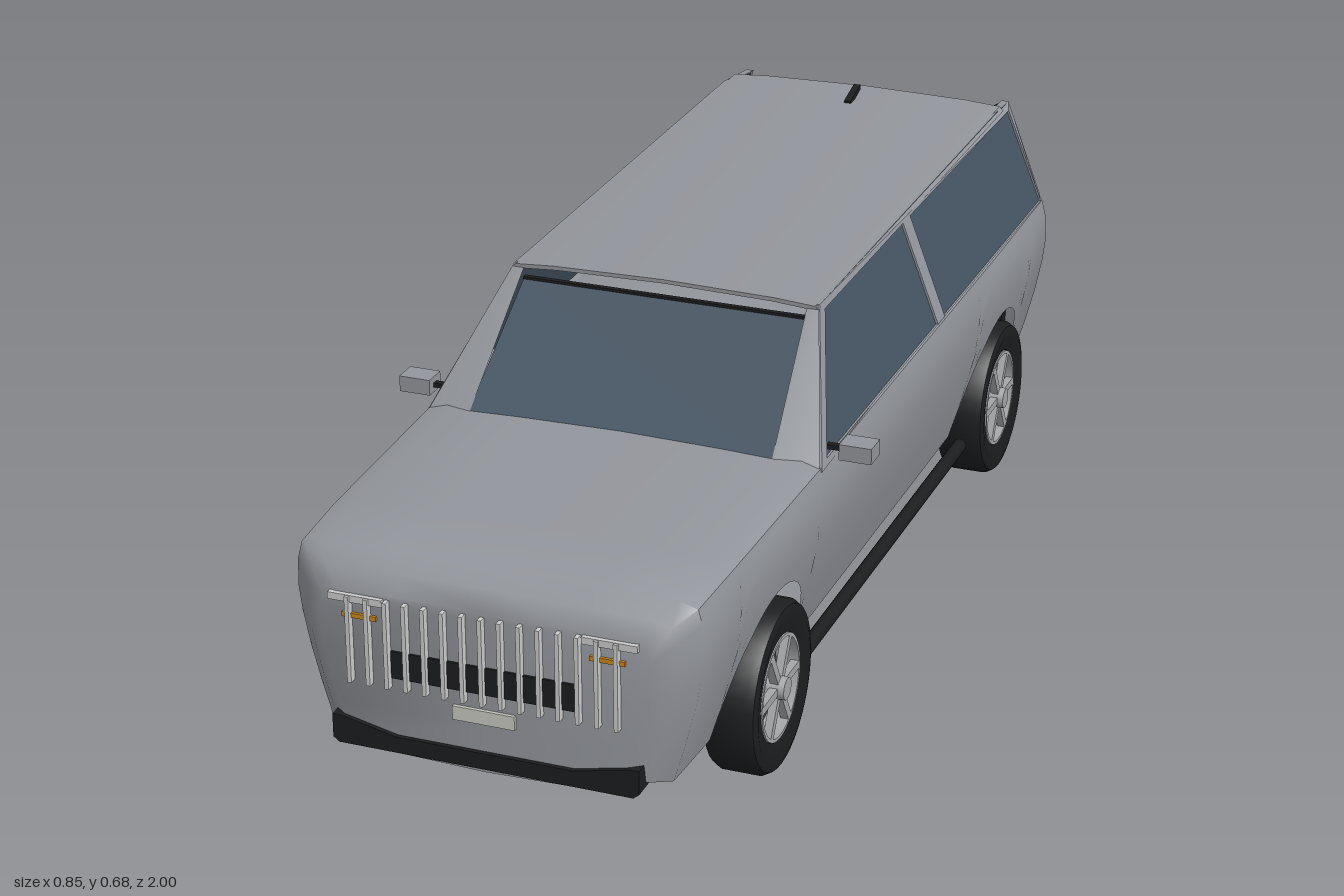
import * as THREE from 'three';
import { toCreasedNormals } from 'three/addons/utils/BufferGeometryUtils.js';

const mat = (color) => new THREE.MeshStandardMaterial({ color, side: THREE.DoubleSide });
const PAINT = mat(0x92959b), BLACK = mat(0x1c1d1f), GLASS = mat(0x455462), WHITE = mat(0xf4f4f4);
const PLATE = mat(0xc8c8c0), RIM = mat(0xa4a6a8), ORANGE = mat(0xc8861c), RED = mat(0xa01c22), DISC = mat(0x3a3c40);
const WHEEL_Z = [0.615, -0.62], WHEEL_Y = 0.146, ARCH_R = 0.173;

function add(parent, name, geometry, material, x = 0, y = 0, z = 0) {
  const mesh = new THREE.Mesh(geometry, material);
  mesh.name = name;
  mesh.position.set(x, y, z);
  parent.add(mesh);
  return mesh;
}
const box = (parent, name, material, size, pos) => add(parent, name, new THREE.BoxGeometry(...size), material, ...pos);

// Piecewise linear lookup in rows of [key, value, value...]
function lookup(rows, key) {
  let i = 0;
  while (i < rows.length - 2 && key > rows[i + 1][0]) i++;
  const [a, b] = [rows[i], rows[i + 1]];
  const t = THREE.MathUtils.clamp((key - a[0]) / (b[0] - a[0]), 0, 1);
  return a.map((v, k) => v + (b[k] - v) * t);
}

// Surface through equally long rows of points
function loft(rows, crease) {
  const n = rows[0].length, index = [];
  for (let i = 0; i < rows.length - 1; i++) {
    for (let j = 0; j < n - 1; j++) {
      const a = i * n + j, b = a + n;
      index.push(a, a + 1, b, b, a + 1, b + 1);
    }
  }
  const g = new THREE.BufferGeometry();
  g.setAttribute('position', new THREE.Float32BufferAttribute(rows.flat(2), 3));
  g.setIndex(index);
  g.computeVertexNormals();
  return toCreasedNormals(g, crease);
}
const quad = (a, b, c, d) => loft([[a, b], [d, c]], 0.5);
const mirrorRow = (half) => [...half, ...half.slice(0, -1).reverse().map(([x, y, z]) => [-x, y, z])];

// z, half width, top, lower side edge
const STATIONS = [
  [-0.99, 0.28, 0.425, 0.16], [-0.95, 0.336, 0.452, 0.142], [-0.9, 0.357, 0.46, 0.13], [-0.6, 0.36, 0.46, 0.13],
  [0.42, 0.36, 0.46, 0.13], [0.8, 0.35, 0.453, 0.13], [0.93, 0.343, 0.447, 0.13], [0.964, 0.31, 0.424, 0.14],
  [0.987, 0.277, 0.395, 0.15],
];
// Height fraction, width fraction of the body side
const SIDE = [[0, 0.85], [0.25, 0.915], [0.5, 0.97], [0.72, 1], [0.88, 0.998], [1, 0.97]];

function buildBody(group) {
  const zs = STATIONS.map((s) => s[0]);
  for (const c of WHEEL_Z) {
    zs.push(c - ARCH_R - 0.001, c + ARCH_R + 0.001);
    for (let i = 0; i <= 20; i++) zs.push(c - ARCH_R * Math.cos((i / 20) * Math.PI));
  }
  zs.sort((a, b) => a - b);
  const upper = [], floor = [];
  for (const z of zs) {
    const [, w, top, low] = lookup(STATIONS, z);
    const shoulder = top - 0.012;
    const arch = WHEEL_Z.find((c) => Math.abs(z - c) <= ARCH_R + 1e-6);
    const inArch = arch !== undefined;
    const edge = inArch ? WHEEL_Y + Math.sqrt(Math.max(0, ARCH_R ** 2 - (z - arch) ** 2)) : low;
    const half = [0, 0.2, 0.4, 0.6, 0.75, 0.9, 1].map((t) => {
      const y = edge + (shoulder - edge) * t;
      return [w * lookup(SIDE, (y - low) / (shoulder - low))[1], y, z];
    });
    half.push([w * 0.88, top - 0.003, z], [w * 0.5, top, z], [0, top + 0.002, z]);
    upper.push(mirrorRow(half));
    floor.push(mirrorRow([[inArch ? 0.205 : w * 0.85, inArch ? 0.107 : low, z], [w * 0.5, low - 0.029, z], [0, low - 0.033, z]]));
  }
  // Close nose and tail with flat faces drawn in to the centre line
  for (const rows of [upper, floor]) {
    const flatten = (row) => row.map(([, y, z]) => [0, y, z]);
    rows.unshift(flatten(rows[0]));
    rows.push(flatten(rows[rows.length - 1]));
  }
  add(group, 'bodyShell', loft(upper, 0.75), PAINT);
  add(group, 'floor', loft(floor, 0.6), PAINT);
}

const polygon = (pts) => pts.map((p) => new THREE.Vector2(...p));
const WINDOWS = [
  [[0.385, 0.453], [0.2, 0.636], [-0.22, 0.636], [-0.22, 0.453]],
  [[-0.26, 0.453], [-0.26, 0.636], [-0.872, 0.632], [-0.882, 0.453]],
];

// Turns a flat (z, y, depth) geometry into a leaning cabin side, drawn in at the tail
function lean(geometry, side, inset) {
  const g = geometry.index ? geometry.toNonIndexed() : geometry, p = g.attributes.position;
  for (let i = 0; i < p.count; i++) {
    const y = p.getY(i), z = p.getX(i);
    const tail = Math.max(0, -z - 0.885) * 0.4;
    p.setXYZ(i, side * (0.35 - (y - 0.45) * 0.38 - inset - tail - p.getZ(i)), y, z);
  }
  g.computeVertexNormals();
  return g;
}

function buildCabin(group) {
  for (const s of [1, -1]) {
    const panel = new THREE.Shape(polygon([[0.42, 0.443], [0.215, 0.648], [-0.8, 0.648], [-0.91, 0.637], [-0.943, 0.445]]));
    panel.holes = WINDOWS.map((w) => new THREE.Path(polygon(w)));
    add(group, 'cabinSide', lean(new THREE.ExtrudeGeometry(panel, { depth: 0.014, bevelEnabled: false }), s, 0), PAINT);
    for (const w of WINDOWS) add(group, 'sideWindow', lean(new THREE.ShapeGeometry(new THREE.Shape(polygon(w))), s, 0.004), GLASS);
    add(group, 'windshieldPillar', quad([s * 0.349, 0.447, 0.421], [s * 0.27, 0.452, 0.436], [s * 0.255, 0.647, 0.22], [s * 0.275, 0.648, 0.219]), PAINT);
    add(group, 'rearPillarInner', quad([s * 0.315, 0.45, -0.938], [s * 0.262, 0.455, -0.925], [s * 0.25, 0.645, -0.84], [s * 0.258, 0.637, -0.905]), BLACK);
  }
  // Crowned roof
  const crown = [[-0.278, 0.64], [-0.27, 0.648], [-0.2, 0.653], [0, 0.657], [0.2, 0.653], [0.27, 0.648], [0.278, 0.64]];
  const under = crown.slice(1, -1).reverse().map(([x, y]) => [x * 0.97, y - 0.007]);
  const roof = new THREE.ExtrudeGeometry(new THREE.Shape(polygon([...crown, ...under])), { depth: 1.07, bevelEnabled: false });
  add(group, 'roof', toCreasedNormals(roof, 0.5), PAINT, 0, 0, -0.845);

  add(group, 'windshield', quad([-0.272, 0.455, 0.432], [0.272, 0.455, 0.432], [0.256, 0.622, 0.226], [-0.256, 0.622, 0.226]), GLASS);
  box(group, 'windshieldTrim', BLACK, [0.515, 0.007, 0.01], [0, 0.622, 0.219]);
  add(group, 'rearWindow', quad([0.262, 0.462, -0.923], [-0.262, 0.462, -0.923], [-0.25, 0.625, -0.845], [0.25, 0.625, -0.845]), GLASS);
  box(group, 'rearWindowTrim', BLACK, [0.54, 0.01, 0.02], [0, 0.458, -0.93]);
  box(group, 'antenna', BLACK, [0.013, 0.01, 0.06], [0, 0.664, -0.765]).rotation.x = 0.25;
}

function buildTrim(group) {
  for (let i = -7; i <= 7; i++) box(group, 'grilleBar', WHITE, [0.007, 0.15, 0.014], [i * 0.0321, 0.314, 0.993]);
  box(group, 'grilleIntake', BLACK, [0.312, 0.047, 0.01], [0, 0.279, 0.986]);
  box(group, 'frontPlate', PLATE, [0.105, 0.024, 0.01], [0, 0.216, 0.988]);
  box(group, 'rearPlate', PLATE, [0.1, 0.026, 0.01], [0, 0.2, -0.99]);
  for (const s of [1, -1]) {
    box(group, 'headlight', WHITE, [0.092, 0.012, 0.03], [s * 0.213, 0.384, 0.98]);
    box(group, 'turnSignal', ORANGE, [0.058, 0.008, 0.014], [s * 0.208, 0.354, 0.985]);
    box(group, 'tailLight', RED, [0.06, 0.024, 0.012], [s * 0.21, 0.375, -0.988]);
    box(group, 'mirror', PAINT, [0.056, 0.028, 0.044], [s * 0.395, 0.464, 0.357]);
    box(group, 'mirrorArm', BLACK, [0.04, 0.008, 0.012], [s * 0.352, 0.463, 0.357]);
    add(group, 'sideStep', new THREE.CylinderGeometry(0.013, 0.013, 0.9, 10), BLACK, s * 0.328, 0.115, 0).rotation.x = Math.PI / 2;
  }
  // Bumpers with upturned ends
  const half = [[0.25, 0.126], [0.26, 0.134], [0.26, 0.175], [0.245, 0.175], [0.15, 0.154]];
  const outline = [...half, ...half.map(([x, y]) => [-x, y]).reverse()];
  const bumper = new THREE.ExtrudeGeometry(new THREE.Shape(polygon(outline)), { depth: 0.052, bevelEnabled: false });
  add(group, 'frontBumper', bumper, BLACK, 0, 0, 0.943);
  add(group, 'rearBumper', bumper, BLACK, 0, 0, -0.997);
}

function buildWheel(parent, x, z) {
  const wheel = new THREE.Group();
  wheel.name = 'wheel';
  const profile = [[0.092, -0.038], [0.125, -0.046], [0.139, -0.042], [0.146, -0.03], [0.146, 0.03], [0.139, 0.042], [0.125, 0.046], [0.092, 0.038], [0.092, -0.038]];
  add(wheel, 'tire', toCreasedNormals(new THREE.LatheGeometry(polygon(profile), 40), 0.6), BLACK);
  const rim = [[0.091, -0.036], [0.091, 0.04], [0.085, 0.04], [0.085, -0.036], [0.091, -0.036]];
  add(wheel, 'rim', toCreasedNormals(new THREE.LatheGeometry(polygon(rim), 40), 0.6), RIM);
  add(wheel, 'brakeDisc', new THREE.CylinderGeometry(0.072, 0.072, 0.012, 32), DISC);
  add(wheel, 'hub', new THREE.CylinderGeometry(0.019, 0.023, 0.045, 16), RIM, 0, 0.028, 0);
  for (let i = 0; i < 6; i++) {
    const a = (i / 6) * Math.PI * 2 + Math.PI / 6;
    const spoke = box(wheel, 'spoke', RIM, [0.07, 0.014, 0.014], [Math.cos(a) * 0.052, 0.033, Math.sin(a) * 0.052]);
    spoke.rotation.y = -a;
  }
  wheel.rotation.z = x > 0 ? -Math.PI / 2 : Math.PI / 2;
  wheel.position.set(x, WHEEL_Y, z);
  parent.add(wheel);
}

export function createModel() {
  const car = new THREE.Group();
  car.name = 'car';
  buildBody(car);
  buildCabin(car);
  buildTrim(car);
  for (const z of WHEEL_Z) for (const s of [1, -1]) buildWheel(car, s * 0.315, z);
  return car;
}
